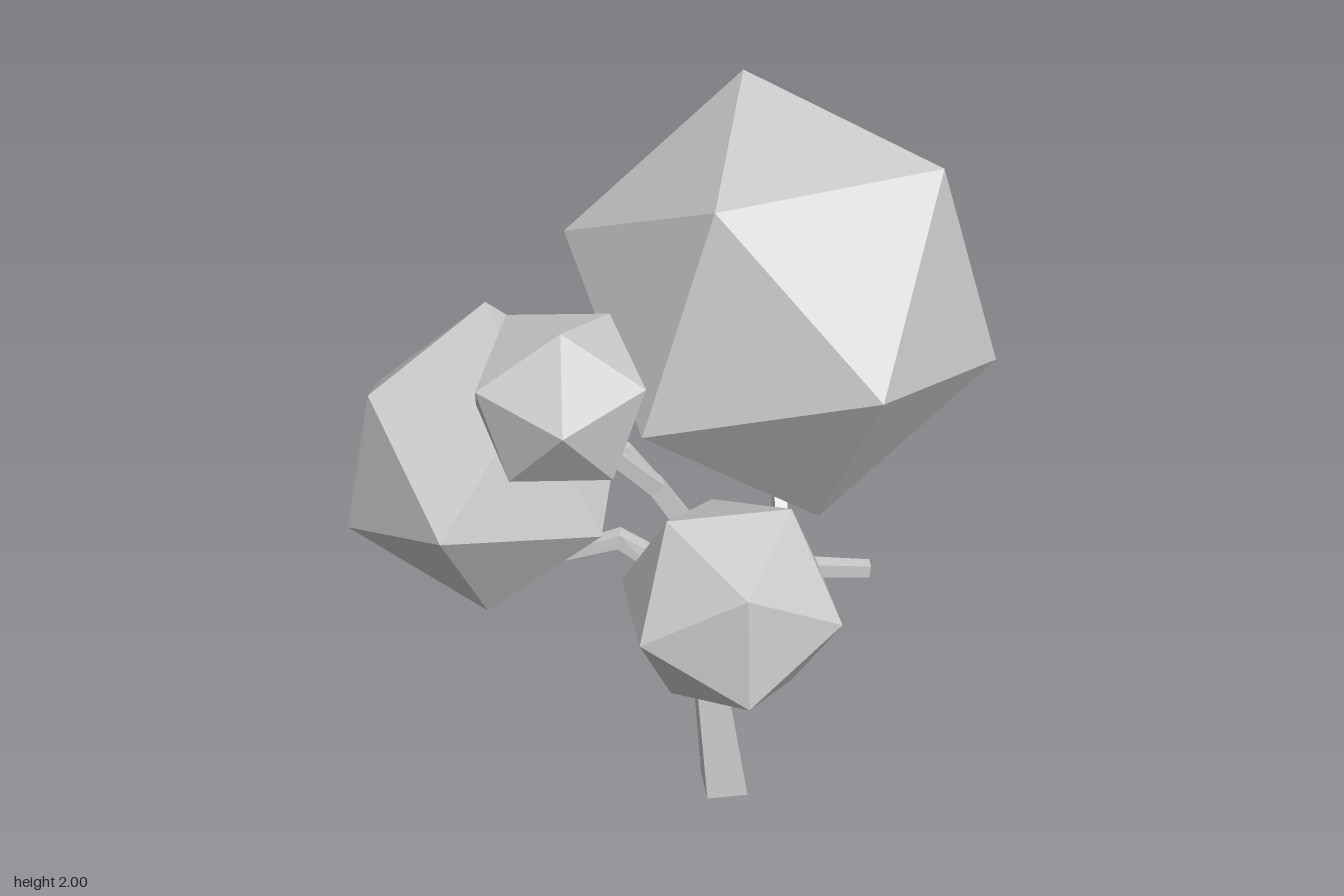
import * as THREE from 'three';

const material = new THREE.MeshStandardMaterial({ color: 0xcccccc, flatShading: true });
const vec = (p) => new THREE.Vector3(...p);

// Square tapering limb through [x, y, z, width] stations, closed at both ends
function limb(name, stations, ref = [-0.17, 0, 0.98]) {
  const pts = stations.map(vec);
  const up = vec(ref);
  const pos = [], idx = [];
  const last = pts.length - 1;
  pts.forEach((p, k) => {
    const t = new THREE.Vector3();
    if (k > 0) t.add(p.clone().sub(pts[k - 1]).normalize());
    if (k < last) t.add(pts[k + 1].clone().sub(p).normalize());
    t.normalize();
    // The trunk foot is cut level with the ground
    if (p.y === 0) t.set(0, 1, 0);
    const s = new THREE.Vector3().crossVectors(t, up).normalize();
    const n = new THREE.Vector3().crossVectors(t, s);
    const h = stations[k][3] / 2;
    for (const [a, b] of [[1, 1], [-1, 1], [-1, -1], [1, -1]]) {
      pos.push(...p.clone().addScaledVector(s, a * h).addScaledVector(n, b * h).toArray());
    }
    if (k < last) {
      for (let i = 0; i < 4; i++) {
        const a = k * 4 + i, b = k * 4 + (i + 1) % 4;
        idx.push(a, b, b + 4, a, b + 4, a + 4);
      }
    }
  });
  const e = last * 4;
  idx.push(0, 2, 1, 0, 3, 2, e, e + 1, e + 2, e, e + 2, e + 3);
  const indexed = new THREE.BufferGeometry();
  indexed.setAttribute('position', new THREE.Float32BufferAttribute(pos, 3));
  indexed.setIndex(idx);
  const geo = indexed.toNonIndexed();
  geo.computeVertexNormals();
  const mesh = new THREE.Mesh(geo, material);
  mesh.name = name;
  return mesh;
}

// Icosahedral leaf clump, turned so that two neighbouring corners point along a and b
function clump(name, center, radius, a, b) {
  const va = vec(a).normalize(), vb = vec(b).normalize();
  const y = va.clone().add(vb).normalize();
  const x = vb.clone().sub(va).normalize();
  const z = new THREE.Vector3().crossVectors(x, y);
  const geo = new THREE.IcosahedronGeometry(radius, 0);
  geo.applyMatrix4(new THREE.Matrix4().makeBasis(x, y, z));
  const mesh = new THREE.Mesh(geo, material);
  mesh.position.set(...center);
  mesh.name = name;
  return mesh;
}

export function createModel() {
  const tree = new THREE.Group();
  tree.name = 'tree';

  // Leaning trunk with a flared fork
  tree.add(limb('trunk', [
    [0.107, 0, 0.07, 0.117], [0.035, 0.63, 0.06, 0.065], [0.03, 0.71, 0.05, 0.1],
  ]));

  // Branches and their twigs
  const branches = new THREE.Group();
  branches.name = 'branches';
  branches.add(
    limb('leftBranch', [
      [0.05, 0.67, 0.06, 0.07], [0.11, 0.735, 0.09, 0.055],
      [0.21, 0.79, 0.14, 0.045], [0.47, 0.77, 0.21, 0.036],
    ]),
    limb('leftTwig', [[0.23, 0.78, 0.145, 0.04], [0.27, 0.88, 0.04, 0.036], [0.31, 1.02, -0.1, 0.03]]),
    limb('rightBranch', [
      [0.02, 0.67, 0.05, 0.07], [-0.04, 0.75, 0.0, 0.055],
      [-0.16, 0.83, -0.06, 0.045], [-0.34, 0.785, -0.1, 0.03],
    ]),
    limb('leader', [
      [0.03, 0.68, 0.06, 0.07], [0.01, 0.9, 0.1, 0.05],
      [-0.1, 1.08, 0.09, 0.045], [-0.31, 1.3, 0.1, 0.035],
    ]),
    limb('leaderTwig', [[-0.1, 1.08, 0.09, 0.04], [-0.17, 1.18, 0.05, 0.036], [-0.29, 1.18, 0.02, 0.035]]),
    limb('frontTwig', [[0.01, 0.88, 0.09, 0.045], [0.0, 0.94, 0.15, 0.04], [-0.02, 0.96, 0.27, 0.035]], [1, 0, 0]),
  );
  tree.add(branches);

  // Foliage
  const foliage = new THREE.Group();
  foliage.name = 'foliage';
  foliage.add(
    clump('largeClump', [0.33, 1.455, -0.145], 0.607, [0.05, -0.005, 0.605], [0.34, 0.435, 0.245]),
    clump('rightClump', [-0.483, 1.063, -0.214], 0.419, [-0.317, 0.272, 0.034], [-0.387, -0.158, -0.021]),
    clump('frontClump', [-0.03, 0.955, 0.487], 0.303, [-0.04, 0.175, 0.243], [-0.04, -0.145, 0.263]),
    clump('upperClump', [-0.37, 1.43, 0.137], 0.249, [-0.06, 0.025, 0.238], [-0.23, 0.085, 0.048]),
  );
  tree.add(foliage);
  return tree;
}
